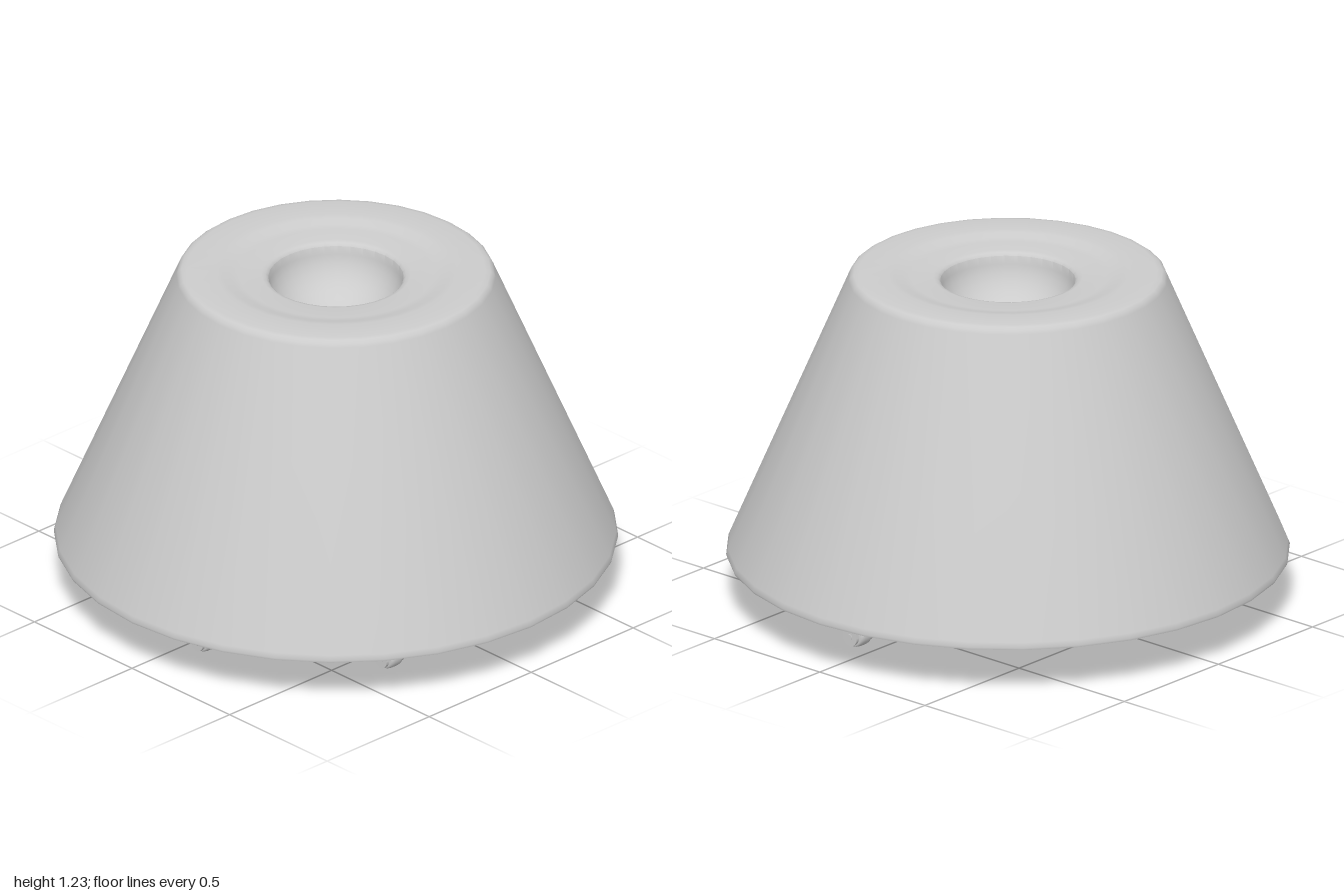
import * as THREE from 'three';
import { toCreasedNormals, mergeVertices } from 'three/addons/utils/BufferGeometryUtils.js';
import { RoundedBoxGeometry } from 'three/addons/geometries/RoundedBoxGeometry.js';

const material = new THREE.MeshStandardMaterial({ color: 0xcccccc });

function part(name, geometry, parent, x = 0, y = 0, z = 0) {
  const mesh = new THREE.Mesh(geometry, material);
  mesh.name = name;
  mesh.position.set(x, y, z);
  parent.add(mesh);
  return mesh;
}

// Closed solid through rectangular sections [y, halfWidth, halfDepth], listed bottom to top
function rectLoft(sections) {
  const pos = [];
  const index = [];
  const signs = [[1, 1], [1, -1], [-1, -1], [-1, 1]];
  for (const [y, w, d] of sections) for (const [sx, sz] of signs) pos.push(sx * w, y, sz * d);
  for (let i = 0; i < sections.length - 1; i++) {
    for (let j = 0; j < 4; j++) {
      const a = i * 4 + j, b = i * 4 + (j + 1) % 4;
      index.push(a, b, b + 4, a, b + 4, a + 4);
    }
  }
  const t = (sections.length - 1) * 4;
  index.push(0, 2, 1, 0, 3, 2, t, t + 1, t + 2, t, t + 2, t + 3);
  const g = new THREE.BufferGeometry();
  g.setAttribute('position', new THREE.Float32BufferAttribute(pos, 3));
  g.setIndex(index);
  return toCreasedNormals(g, 0.3);
}

// Tapered body with bevelled rims, shallow dished top and round bowl
function bodyGeometry() {
  const profile = [
    [0, 0.18], [0.985, 0.18], [0.998, 0.184], [1, 0.192], [0.993, 0.21],
    [0.566, 1.215], [0.56, 1.228], [0.548, 1.237], [0.53, 1.24],
    [0.43, 1.24], [0.405, 1.237], [0.375, 1.227], [0.345, 1.223],
    [0.265, 1.223], [0.25, 1.219],
  ].map(([r, y]) => new THREE.Vector2(r, y));
  const steps = 10;
  for (let i = 0; i <= steps; i++) {
    const a = (i / steps) * Math.PI / 2;
    profile.push(new THREE.Vector2(i === steps ? 0 : 0.24 * Math.cos(a), 1.21 - 0.2 * Math.sin(a)));
  }
  const g = new THREE.LatheGeometry(profile, 32);
  g.deleteAttribute('normal');
  g.deleteAttribute('uv');
  return toCreasedNormals(mergeVertices(g), 0.75);
}

// Fork cheek: straight top, round lower end, extruded along x
function cheekGeometry() {
  const s = new THREE.Shape();
  s.moveTo(0.028, 0.1);
  s.lineTo(-0.028, 0.1);
  s.lineTo(-0.033, 0.05);
  s.absarc(0, 0.05, 0.033, Math.PI, Math.PI * 2, false);
  s.closePath();
  const g = new THREE.ExtrudeGeometry(s, { depth: 0.012, bevelEnabled: false, curveSegments: 10 });
  g.translate(0, 0, -0.006);
  return g.rotateY(Math.PI / 2);
}

function makeCaster() {
  const caster = new THREE.Group();
  caster.name = 'caster';
  part('stem', new THREE.CylinderGeometry(0.018, 0.018, 0.085, 16), caster, 0, 0.1425);
  part('forkBridge', new RoundedBoxGeometry(0.09, 0.02, 0.056, 3, 0.009), caster, 0, 0.1);
  const cheek = cheekGeometry();
  for (const side of [-1, 1]) part('forkCheek', cheek, caster, side * 0.041, 0);
  const tread = [[0, -0.03], [0.035, -0.03], [0.041, -0.024], [0.043, -0.012],
    [0.043, 0.012], [0.041, 0.024], [0.035, 0.03], [0, 0.03]].map(([r, y]) => new THREE.Vector2(r, y));
  const wheel = part('wheel', new THREE.LatheGeometry(tread, 24), caster, 0, 0.05);
  wheel.rotation.z = Math.PI / 2;
  const axle = part('axle', new THREE.CylinderGeometry(0.012, 0.012, 0.098, 12), caster, 0, 0.05);
  axle.rotation.z = Math.PI / 2;
  return caster;
}

function makeFoot() {
  const foot = new THREE.Group();
  foot.name = 'foot';
  part('stem', new THREE.CylinderGeometry(0.02, 0.02, 0.08, 16), foot, 0, 0.15);
  part('swivelBlock', new RoundedBoxGeometry(0.058, 0.05, 0.048, 3, 0.014), foot, 0, 0.152);
  // Wedge-shaped housing
  part('housing', rectLoft([
    [0.022, 0.076, 0.105], [0.03, 0.082, 0.117], [0.042, 0.08, 0.114],
    [0.112, 0.05, 0.046], [0.126, 0.036, 0.03],
  ]), foot);
  part('sole', rectLoft([[0, 0.066, 0.07], [0.01, 0.074, 0.088], [0.023, 0.074, 0.096]]), foot, 0, 0.006);
  // Arched lugs on both sides
  for (const side of [-1, 1]) {
    const lug = part('sideLug', new THREE.CylinderGeometry(0.042, 0.042, 0.02, 20), foot, side * 0.054, 0.066);
    lug.rotation.z = Math.PI / 2;
  }
  return foot;
}

export function createModel() {
  const model = new THREE.Group();
  model.name = 'rollingCone';
  part('body', bodyGeometry(), model);
  for (const [x, z] of [[0.71, 0.075], [0.33, 0.62]]) {
    for (const side of [-1, 1]) {
      const caster = makeCaster();
      caster.position.set(side * x, 0, z);
      model.add(caster);
    }
  }
  const foot = makeFoot();
  foot.position.z = -0.475;
  model.add(foot);
  return model;
}
